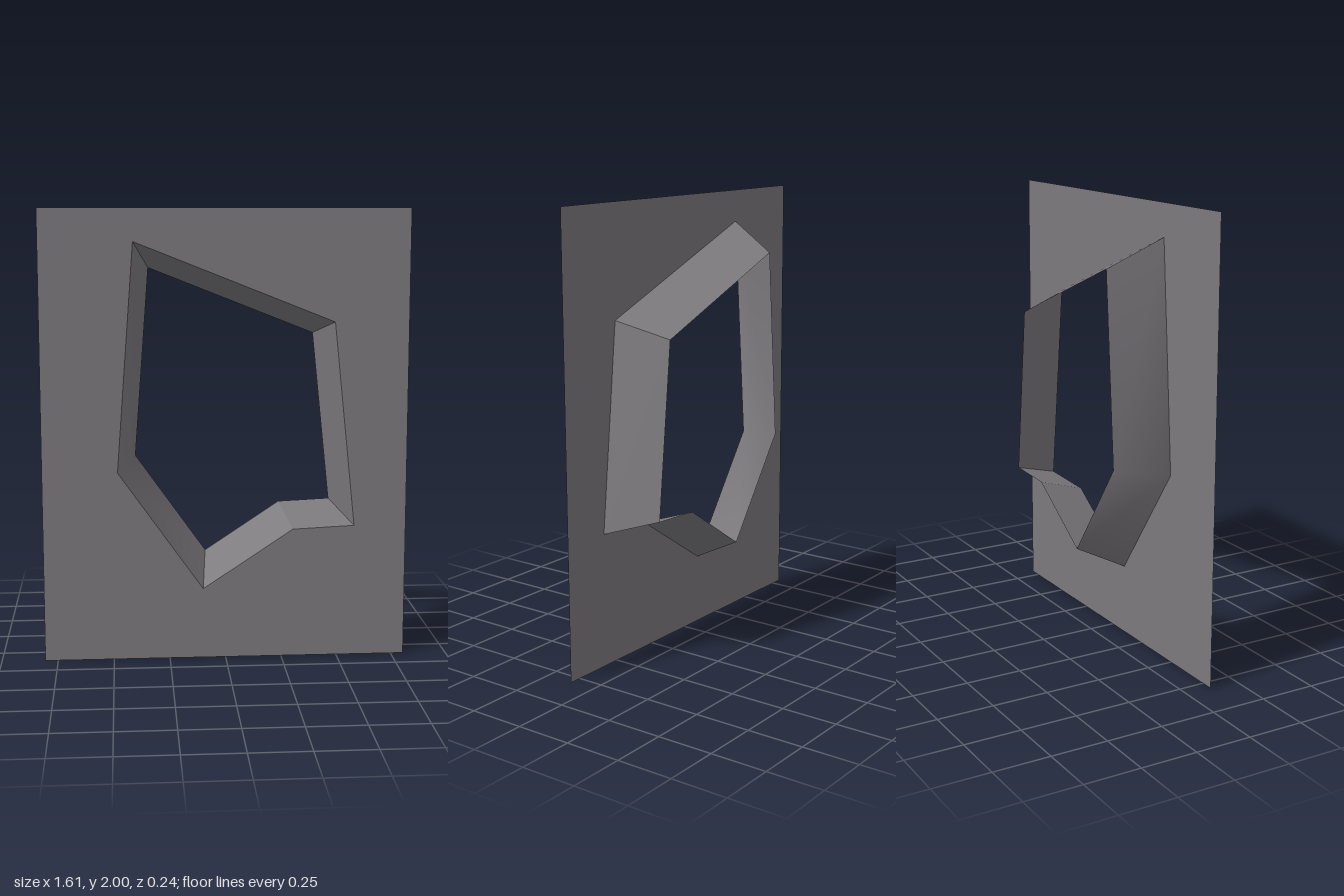
import * as THREE from 'three';
import { mergeGeometries } from 'three/addons/utils/BufferGeometryUtils.js';

const DEPTH = 0.118;

// Opening corners, clockwise from the top left, and the taper towards the back
const opening = [
  [-0.40, 1.857], [0.48, 1.507], [0.575, 0.597],
  [0.30, 0.584], [-0.10, 0.318], [-0.476, 0.849],
];
const taper = ([x, y]) => [x * 0.842 + 0.006, y * 0.842 + 0.17];

// Strip of wall through a run of corners; normals are smooth inside one run
function wallStrip(run) {
  const positions = [], index = [];
  run.forEach((corner, i) => {
    const [x, y] = opening[corner];
    const [bx, by] = taper(opening[corner]);
    positions.push(x, y, DEPTH, bx, by, -DEPTH);
    if (i > 0) {
      const a = 2 * (i - 1);
      index.push(a, a + 1, a + 2, a + 2, a + 1, a + 3);
    }
  });
  const geometry = new THREE.BufferGeometry();
  geometry.setAttribute('position', new THREE.Float32BufferAttribute(positions, 3));
  geometry.setIndex(index);
  geometry.computeVertexNormals();
  return geometry;
}

export function createModel() {
  const group = new THREE.Group();
  group.name = 'wallWithOpening';

  const stone = new THREE.MeshStandardMaterial({ color: 0x7c797d, side: THREE.DoubleSide });
  stone.name = 'stone grey';

  // Flat front sheet with the irregular opening cut out
  const sheet = new THREE.Shape([
    new THREE.Vector2(-0.807, 0), new THREE.Vector2(0.807, 0),
    new THREE.Vector2(0.807, 2), new THREE.Vector2(-0.807, 2),
  ]);
  sheet.holes.push(new THREE.Path(opening.map(([x, y]) => new THREE.Vector2(x, y))));
  const panel = new THREE.Mesh(new THREE.ShapeGeometry(sheet), stone);
  panel.name = 'frontPanel';
  panel.position.z = DEPTH;
  group.add(panel);

  // Tapered reveal running back from the opening, rounded at the left corner
  const runs = [[0, 1], [1, 2], [2, 3], [3, 4], [4, 5, 0]];
  const reveal = new THREE.Mesh(mergeGeometries(runs.map(wallStrip)), stone);
  reveal.name = 'openingReveal';
  group.add(reveal);

  return group;
}
